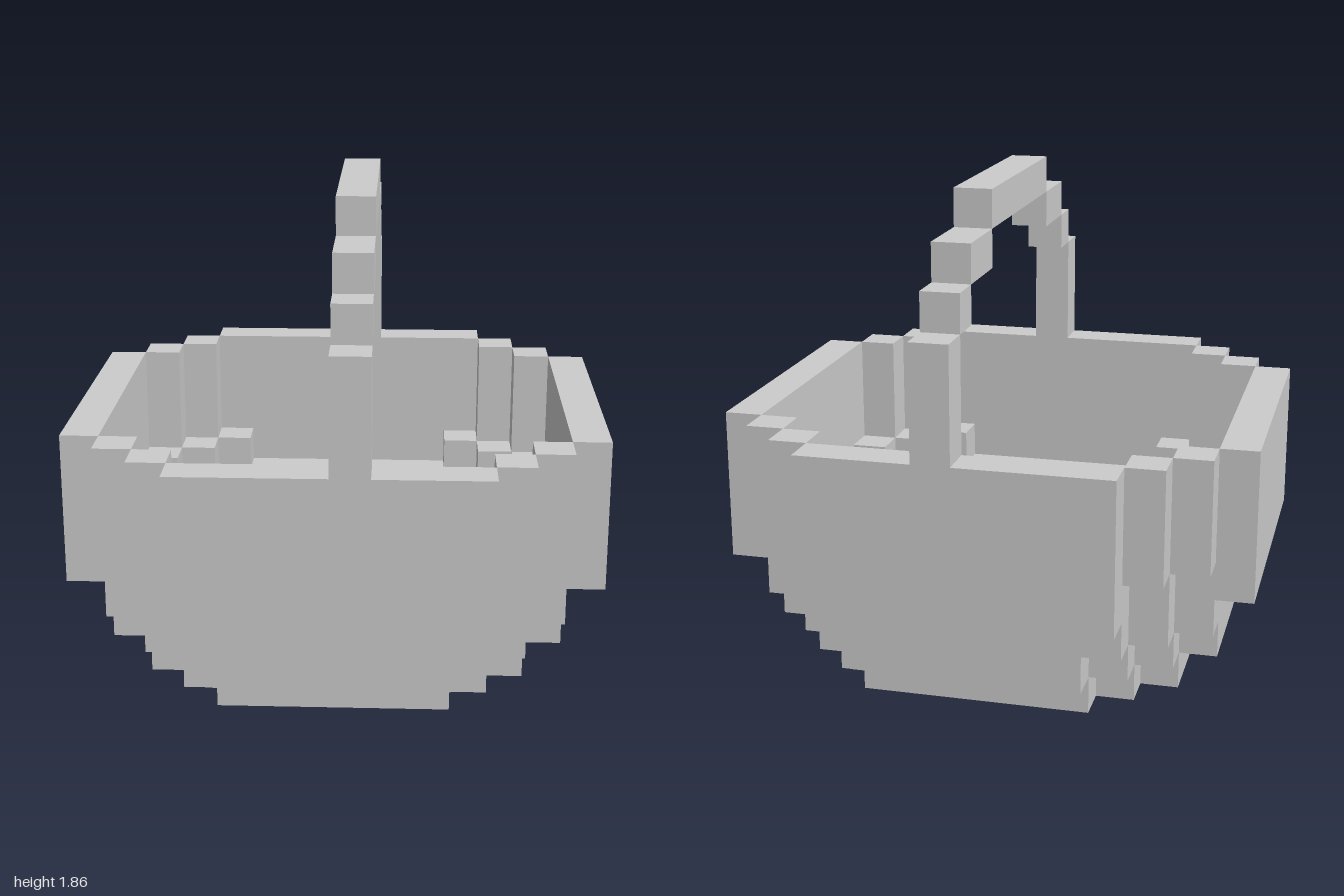
import * as THREE from 'three';

const U = 1 / 7; // edge of one block

export function createModel() {
  const basket = new THREE.Group();
  basket.name = 'basket';
  const material = new THREE.MeshStandardMaterial({ color: 0xcccccc, flatShading: true });

  // Box between two corners given in whole blocks
  const block = (name, x0, x1, y0, y1, z0, z1) => {
    const mesh = new THREE.Mesh(
      new THREE.BoxGeometry((x1 - x0) * U, (y1 - y0) * U, (z1 - z0) * U), material);
    mesh.position.set((x0 + x1) / 2 * U, (y0 + y1) / 2 * U, (z0 + z1) / 2 * U);
    mesh.name = name;
    basket.add(mesh);
  };

  // Floor slab with stepped corners
  const outline = [];
  const steps = [[5, 3], [4, 3], [4, 4], [3, 4], [3, 5]];
  for (const [sx, sy] of [[1, 1], [-1, 1], [-1, -1], [1, -1]]) {
    const run = sx * sy > 0 ? steps : [...steps].reverse();
    run.forEach(([x, y]) => outline.push(new THREE.Vector2(x * sx * U, y * sy * U)));
  }
  const floorGeometry = new THREE.ExtrudeGeometry(new THREE.Shape(outline), { depth: U, bevelEnabled: false });
  floorGeometry.rotateX(-Math.PI / 2);
  const floor = new THREE.Mesh(floorGeometry, material);
  floor.name = 'floor';
  basket.add(floor);

  // Two tiers of straight wall: half length, bottom, top, inner distance
  for (const [half, y0, y1, d] of [[3, 1, 3, 5], [4, 3, 7, 6]]) {
    block('frontWall', -half, half, y0, y1, d, d + 1);
    block('backWall', -half, half, y0, y1, -d - 1, -d);
    block('leftWall', d, d + 1, y0, y1, -half, half);
    block('rightWall', -d - 1, -d, y0, y1, -half, half);
  }

  // Diagonal corner posts: cell x, cell z, bottom, top
  const posts = [
    [3, 4, 1, 2], [4, 3, 1, 2],
    [3, 5, 2, 4], [4, 4, 2, 4], [5, 3, 2, 4],
    [4, 5, 4, 7], [5, 4, 4, 7],
  ];
  for (const sx of [0, 1]) for (const sz of [0, 1]) {
    for (const [x, z, y0, y1] of posts) {
      const cx = sx ? x : -x - 1;
      const cz = sz ? z : -z - 1;
      block('cornerPost', cx, cx + 1, y0, y1, cz, cz + 1);
    }
  }

  // Stepped handle arching from front to back
  for (const [y0, y1, z0, z1] of [[7, 10, 6, 7], [10, 11, 5, 6], [11, 12, 3, 5]]) {
    block('handleFront', 0, 1, y0, y1, z0, z1);
    block('handleBack', 0, 1, y0, y1, -z1, -z0);
  }
  block('handleTop', 0, 1, 12, 13, -3, 3);

  return basket;
}
